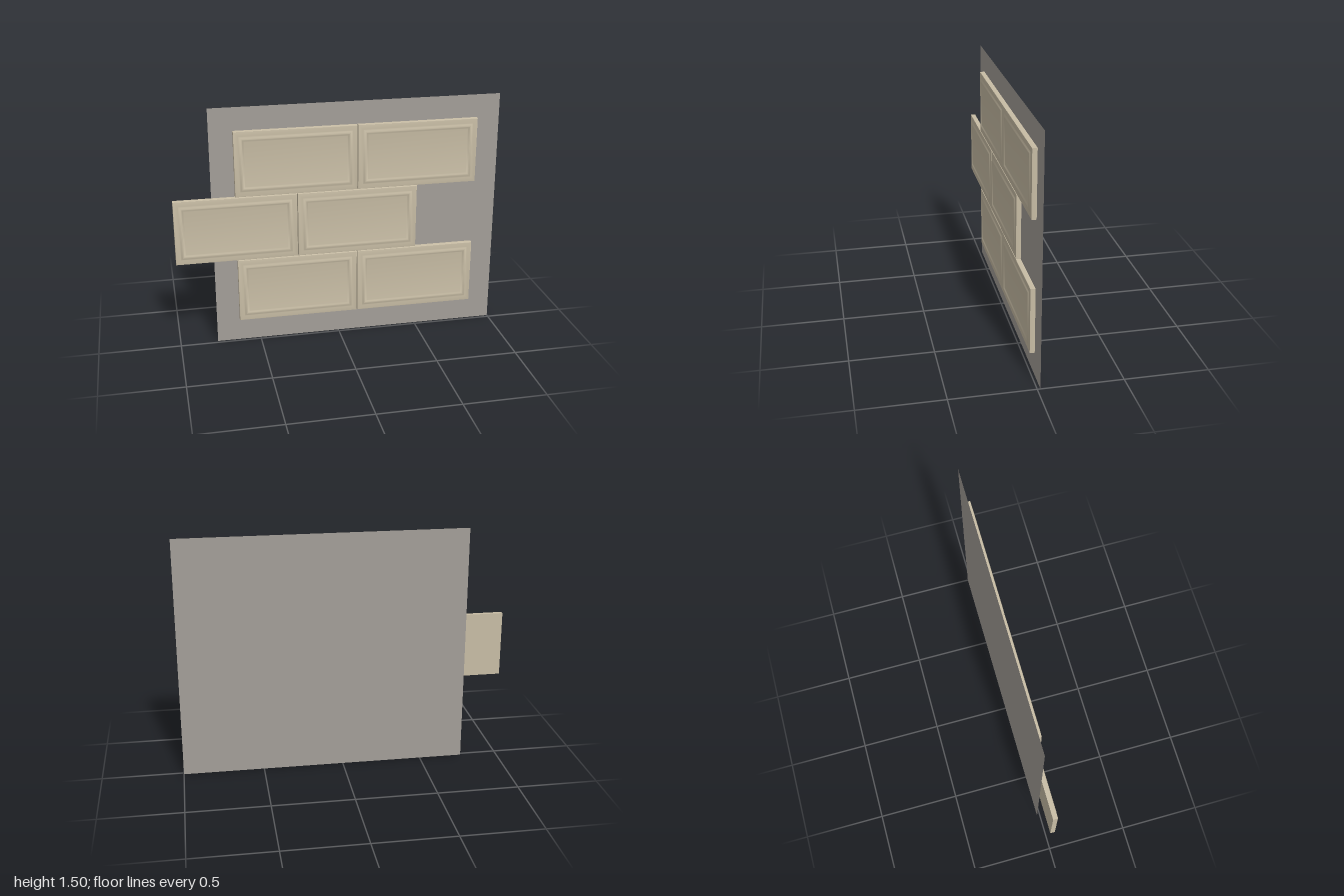
import * as THREE from 'three';
import { toCreasedNormals } from 'three/addons/utils/BufferGeometryUtils.js';

const TILE_W = 0.741, TILE_H = 0.402;
const BACK = -0.0175, FACE = 0.012, RIDGE = 0.006;

// Tile cross-section as [inset from edge, z], from the back edge to the flat centre
function tileProfile() {
  const profile = [[0, BACK], [0, FACE - 0.004], [0.001, FACE - 0.001], [0.004, FACE], [0.026, FACE]];
  const steps = 10, start = 0.03, width = 0.036;
  for (let i = 0; i <= steps; i++) {
    const t = i / steps;
    profile.push([start + width * t, FACE + RIDGE * 0.5 * (1 - Math.cos(2 * Math.PI * t))]);
  }
  profile.push([0.07, FACE]);
  return profile;
}

// Join nested rectangles along the profile, with mitred corners
function tileGeometry() {
  const loops = tileProfile().map(([inset, z]) => {
    const x = TILE_W / 2 - inset, y = TILE_H / 2 - inset;
    return [[-x, -y, z], [x, -y, z], [x, y, z], [-x, y, z]];
  });
  const pos = [];
  const quad = (a, b, c, d) => pos.push(...a, ...b, ...c, ...a, ...c, ...d);
  for (let i = 0; i < loops.length - 1; i++) {
    for (let k = 0; k < 4; k++) {
      const n = (k + 1) % 4;
      quad(loops[i][k], loops[i][n], loops[i + 1][n], loops[i + 1][k]);
    }
  }
  const first = loops[0];
  quad(...loops[loops.length - 1]);
  quad(first[3], first[2], first[1], first[0]);
  const geometry = new THREE.BufferGeometry();
  geometry.setAttribute('position', new THREE.Float32BufferAttribute(pos, 3));
  return toCreasedNormals(geometry, 0.7);
}

export function createModel() {
  const group = new THREE.Group();
  group.name = 'tiledWallPanel';

  const tileMaterial = new THREE.MeshStandardMaterial({ color: 0xc8bda5 });
  tileMaterial.name = 'beige ceramic';
  const wallMaterial = new THREE.MeshStandardMaterial({ color: 0xa39e98, side: THREE.DoubleSide });
  wallMaterial.name = 'grey grout';

  // Thin backing sheet
  const backing = new THREE.Mesh(new THREE.PlaneGeometry(1.77, 1.5), wallMaterial);
  backing.name = 'backingSheet';
  backing.position.set(0.115, 0.75, -0.018);
  group.add(backing);

  // Three rows of two tiles, the middle row shifted by half a tile
  const geometry = tileGeometry();
  const stepX = 0.745, stepY = 0.406;
  for (let row = 0; row < 3; row++) {
    const startX = row === 1 ? -0.629 : -0.259;
    for (let col = 0; col < 2; col++) {
      const tile = new THREE.Mesh(geometry, tileMaterial);
      tile.name = `tileRow${row + 1}Column${col + 1}`;
      tile.position.set(startX + col * stepX, 0.346 + row * stepY, 0);
      group.add(tile);
    }
  }
  return group;
}
